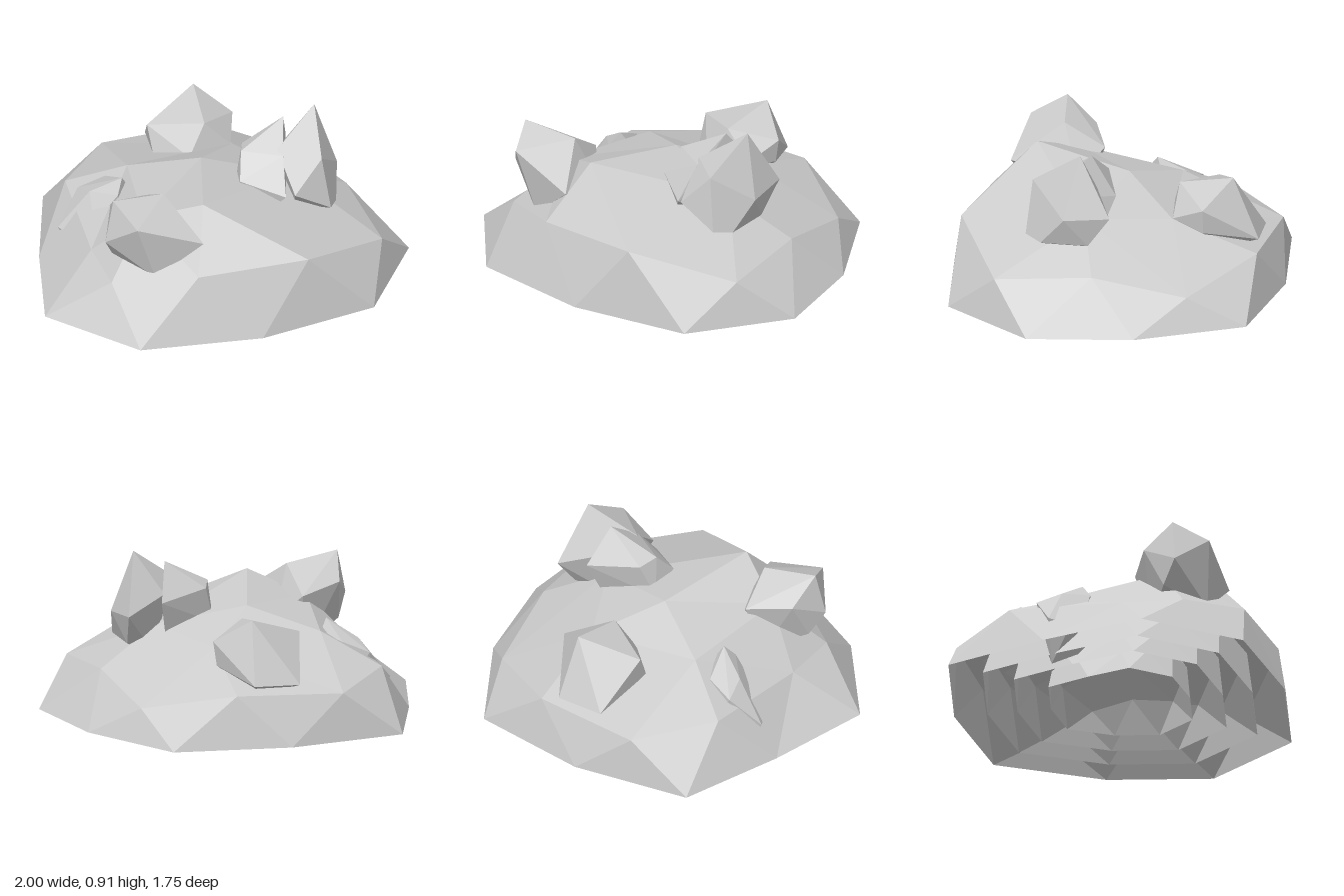
import * as THREE from 'three';
import { ConvexGeometry } from 'three/addons/geometries/ConvexGeometry.js';

const BASE = 0.05;

// Mound rings, each listed by rising angle from +x towards +z
const top = [-0.02, 0.61, -0.05];
const crown = [[0.43, 0.51, 0.1], [-0.19, 0.67, 0.47], [-0.46, 0.55, 0.3], [-0.35, 0.5, -0.27], [0.25, 0.47, -0.33]];
const shoulder = [[0.76, 0.32, 0], [0.28, 0.42, 0.78], [-0.69, 0.29, 0.46], [-0.62, 0.34, -0.47], [0.27, 0.32, -0.78]];
const between = [[0.78, 0.28, 0.51], [-0.3, 0.39, 0.71], [-0.69, 0.3, 0.14], [-0.3, 0.3, -0.81], [0.7, 0.22, -0.49]];
const rim = [[1, 0.3], [0.64, 0.78], [0, 0.87], [-0.64, 0.77], [-1, 0.3],
  [-0.84, -0.25], [-0.63, -0.79], [0, -0.88], [0.62, -0.79], [0.91, -0.25]].map(([x, z]) => [x, BASE, z]);

// Faceted open dome, scaled about the middle of its rim
function moundGeometry(spread, rise) {
  const positions = [];
  const face = (...corners) => corners.forEach(([x, y, z]) =>
    positions.push(x * spread, BASE + (y - BASE) * rise, z * spread));
  for (let i = 0; i < 5; i++) {
    const j = (i + 1) % 5;
    const r0 = rim[2 * i], r1 = rim[2 * i + 1], r2 = rim[(2 * i + 2) % 10];
    face(top, crown[j], crown[i]);
    face(crown[i], crown[j], between[i]);
    face(crown[i], between[i], shoulder[i]);
    face(crown[j], shoulder[j], between[i]);
    face(shoulder[i], between[i], r0);
    face(between[i], r1, r0);
    face(between[i], shoulder[j], r1);
    face(shoulder[j], r2, r1);
  }
  const geometry = new THREE.BufferGeometry();
  geometry.setAttribute('position', new THREE.Float32BufferAttribute(positions, 3));
  geometry.computeVertexNormals();
  return geometry;
}

// Corner points of each boulder
const boulders = {
  frontBoulder: [[-0.66, 0.75, 0.4], [-0.37, 0.71, 0.36], [-0.59, 0.66, 0.58], [-0.24, 0.53, 0.62],
    [-0.48, 0.33, 0.55], [-0.71, 0.52, 0.42], [-0.62, 0.62, 0.24], [-0.39, 0.58, 0.15],
    [-0.28, 0.45, 0.27], [-0.65, 0.4, 0.35], [-0.45, 0.3, 0.25]],
  backBoulder: [[0.14, 0.68, -0.63], [0.1, 0.62, -0.34], [-0.16, 0.57, -0.5], [0.31, 0.55, -0.5],
    [0.17, 0.36, -0.77], [-0.08, 0.35, -0.76], [0, 0.46, -0.29], [0.24, 0.47, -0.33],
    [-0.15, 0.43, -0.43], [0.29, 0.42, -0.5], [0.08, 0.26, -0.55]],
  tallBoulder: [[0.55, 0.91, 0.1], [0.63, 0.6, -0.07], [0.65, 0.58, 0.17], [0.5, 0.74, 0.36],
    [0.54, 0.45, 0.39], [0.34, 0.57, 0.4], [0.31, 0.74, 0.2], [0.4, 0.68, 0.04],
    [0.6, 0.43, 0.05], [0.6, 0.43, 0.3], [0.42, 0.34, 0.15]],
  leaningBoulder: [[0.39, 0.85, 0.07], [0.45, 0.66, -0.07], [0.18, 0.7, 0.02], [0.14, 0.72, 0.12],
    [0.1, 0.6, 0.22], [0.3, 0.55, 0.37], [0.33, 0.72, 0.24], [0.12, 0.5, 0.08],
    [0.2, 0.38, 0.25], [0.38, 0.36, 0.05]],
  sideShard: [[-0.43, 0.53, -0.12], [-0.39, 0.46, -0.15], [-0.46, 0.44, -0.3], [-0.6, 0.38, -0.33],
    [-0.74, 0.22, -0.24], [-0.69, 0.2, -0.13], [-0.6, 0.3, -0.08], [-0.47, 0.46, -0.07],
    [-0.58, 0.43, -0.2], [-0.65, 0, -0.24], [-0.45, 0.16, -0.3], [-0.43, 0.16, -0.1]],
};

export function createModel() {
  const model = new THREE.Group();
  model.name = 'rockyMound';
  const stone = new THREE.MeshStandardMaterial({ color: 0xcccccc, flatShading: true, side: THREE.DoubleSide });
  const add = (name, geometry) => {
    const mesh = new THREE.Mesh(geometry, stone);
    mesh.name = name;
    model.add(mesh);
  };

  // Outer mound and the nested shells inside it
  add('mound', moundGeometry(1, 1));
  [[0.8, 0.9], [0.62, 0.8], [0.42, 0.62]].forEach(([spread, rise], i) =>
    add(`innerShell${i + 1}`, moundGeometry(spread, rise)));

  // Boulders half sunk into the mound
  for (const [name, points] of Object.entries(boulders)) {
    add(name, new ConvexGeometry(points.map((p) => new THREE.Vector3(...p))));
  }
  return model;
}
